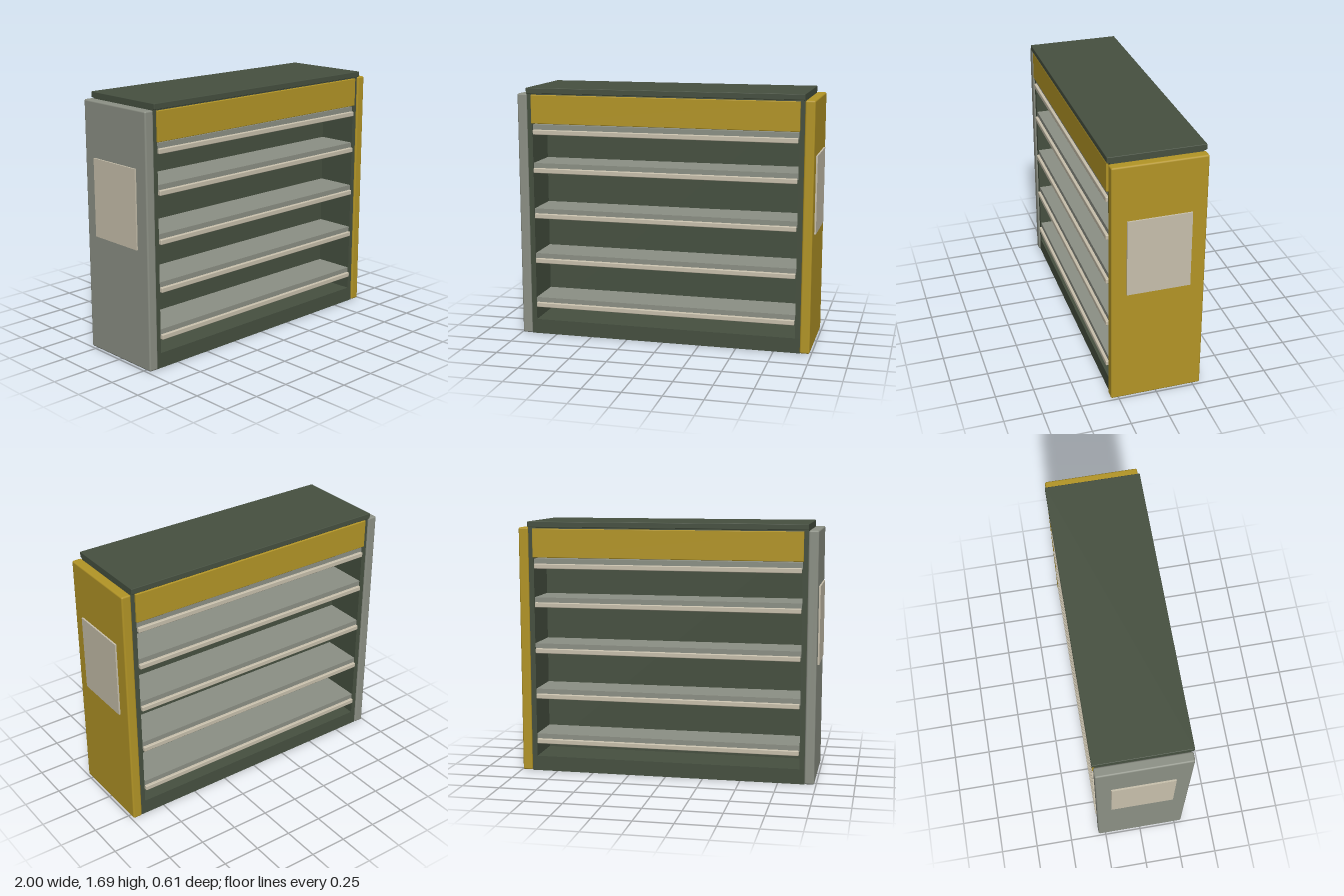
import * as THREE from 'three';
import { RoundedBoxGeometry } from 'three/addons/geometries/RoundedBoxGeometry.js';

const mat = (name, color) => {
  const m = new THREE.MeshStandardMaterial({ color });
  m.name = name;
  return m;
};

export function createModel() {
  const green = mat('dark green', 0x465040);
  const yellow = mat('mustard yellow', 0xb39526);
  const grey = mat('warm grey', 0x8c9085);
  const beige = mat('beige', 0xc8c0ac);
  const model = new THREE.Group();
  model.name = 'doubleSidedShelf';

  // Box given by its minimum and maximum corners; r rounds the edges
  const box = (name, material, [x0, y0, z0], [x1, y1, z1], r = 0, parent = model) => {
    const s = [x1 - x0, y1 - y0, z1 - z0];
    const geo = r ? new RoundedBoxGeometry(...s, 2, r) : new THREE.BoxGeometry(...s);
    const mesh = new THREE.Mesh(geo, material);
    mesh.name = name;
    mesh.position.set((x0 + x1) / 2, (y0 + y1) / 2, (z0 + z1) / 2);
    parent.add(mesh);
    return mesh;
  };

  // Frame: base, side walls, ceiling, central divider and overhanging top
  const D = 0.288;
  box('base', green, [-0.925, 0, -D], [0.925, 0.1, D]);
  box('ceiling', green, [-0.925, 1.62, -D], [0.925, 1.655, D]);
  box('divider', green, [-0.89, 0.1, -0.012], [0.89, 1.62, 0.012]);
  box('topBoard', green, [-0.925, 1.652, -0.307], [0.925, 1.69, 0.307], 0.004);
  for (const s of [-1, 1]) {
    const wall = box('sideWall', green, [-0.0175, 0.1, -D], [0.0175, 1.62, D]);
    wall.position.x = s * 0.9075;

    // End panels with a thin information board on each
    const panel = box('endPanel', s > 0 ? yellow : grey, [-0.0325, 0.003, -0.3], [0.0325, 1.65, 0.3], 0.011);
    panel.position.x = s * 0.9565;
    const board = box('infoBoard', beige, [-0.006, 0.78, -0.204], [0.006, 1.29, 0.204]);
    board.position.x = s * 0.994;
  }

  // Each face: header board, five shelves and their price rails
  for (const [name, turn] of [['frontSide', 0], ['backSide', Math.PI]]) {
    const side = new THREE.Group();
    side.name = name;
    side.rotation.y = turn;
    model.add(side);
    box('header', yellow, [-0.895, 1.452, 0.272], [0.895, 1.643, 0.302], 0.004, side);
    for (const y of [0.19, 0.5, 0.81, 1.12, 1.378]) {
      box('shelf', grey, [-0.889, y + 0.025, 0.012], [0.889, y + 0.066, 0.284], 0, side);
      box('priceRail', beige, [-0.885, y, 0.276], [0.885, y + 0.033, 0.303], 0.005, side);
    }
  }
  return model;
}
